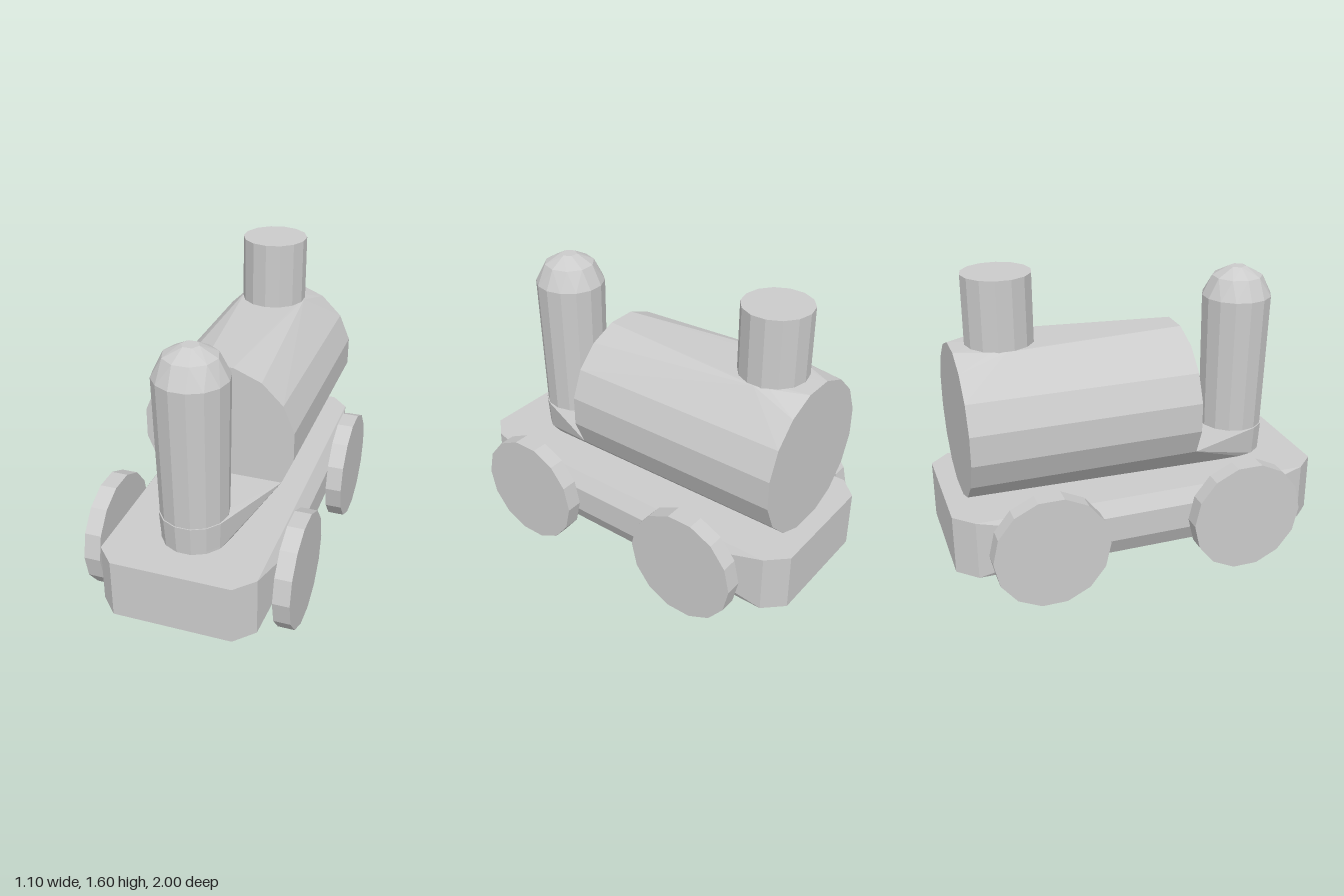
import * as THREE from 'three';
import { ConvexGeometry } from 'three/addons/geometries/ConvexGeometry.js';

const material = new THREE.MeshStandardMaterial({ color: 0xcccccc, flatShading: true });
const V = (x, y, z) => new THREE.Vector3(x, y, z);

// Horizontal ring of points
function ring(r, y, z, n) {
  return Array.from({ length: n }, (_, i) => {
    const a = ((i + 0.5) / n) * Math.PI * 2;
    return V(r * Math.sin(a), y, z + r * Math.cos(a));
  });
}

export function createModel() {
  const model = new THREE.Group();
  const add = (name, geometry, x = 0, y = 0, z = 0) => {
    const mesh = new THREE.Mesh(geometry, material);
    mesh.name = name;
    mesh.position.set(x, y, z);
    model.add(mesh);
    return mesh;
  };

  // Chassis: chamfered slab whose sides swell out to the axle ends
  const chassis = [];
  for (const sx of [-1, 1]) for (const sz of [-1, 1]) {
    for (const y of [0.15, 0.465]) {
      chassis.push(V(sx * 0.31, y, sz), V(sx * 0.405, y, sz * 0.9));
    }
    for (const y of [0.25, 0.39]) chassis.push(V(sx * 0.455, y, sz * 0.55));
  }
  add('chassis', new ConvexGeometry(chassis));

  // Boiler: sixteen-sided barrel, swelling slightly to meet the chimney foot
  const upper = [], lower = [];
  for (const z of [-0.9, 0.3]) {
    for (let i = 0; i < 16; i++) {
      const a = ((i + 0.5) / 16) * Math.PI * 2;
      const x = 0.408 * Math.cos(a), y = 0.85 + 0.4 * Math.sin(a);
      if (y > 0.6) upper.push(V(x, y, z));
      if (y < 0.65) lower.push(V(x, Math.max(y, 0.46), z));
    }
  }
  add('boiler', new ConvexGeometry([...upper, ...ring(0.177, 1.249, -0.65, 14)]));

  // Boiler saddle: barrel underside tapering forward to the front post
  lower.push(...ring(0.17, 0.46, 0.65, 14), ...ring(0.18, 0.62, 0.65, 14));
  add('boilerSaddle', new ConvexGeometry(lower));

  // Chimney
  add('chimney', new THREE.CylinderGeometry(0.177, 0.177, 0.375, 14), 0, 1.4175, -0.65);

  // Front post with a domed top
  add('frontPost', new ConvexGeometry([
    ...ring(0.172, 0.46, 0.648, 14),
    ...ring(0.188, 1.36, 0.657, 14),
    ...ring(0.135, 1.465, 0.657, 10),
    ...ring(0.045, 1.515, 0.657, 6),
  ]));

  // Wheels, slightly staggered from side to side
  const wheel = new THREE.CylinderGeometry(0.303, 0.303, 0.088, 14);
  wheel.rotateZ(Math.PI / 2);
  for (const [name, x, z] of [
    ['frontLeftWheel', 0.506, 0.547], ['backLeftWheel', 0.506, -0.5],
    ['frontRightWheel', -0.506, 0.515], ['backRightWheel', -0.506, -0.55],
  ]) add(name, wheel, x, 0.304, z);

  return model;
}
